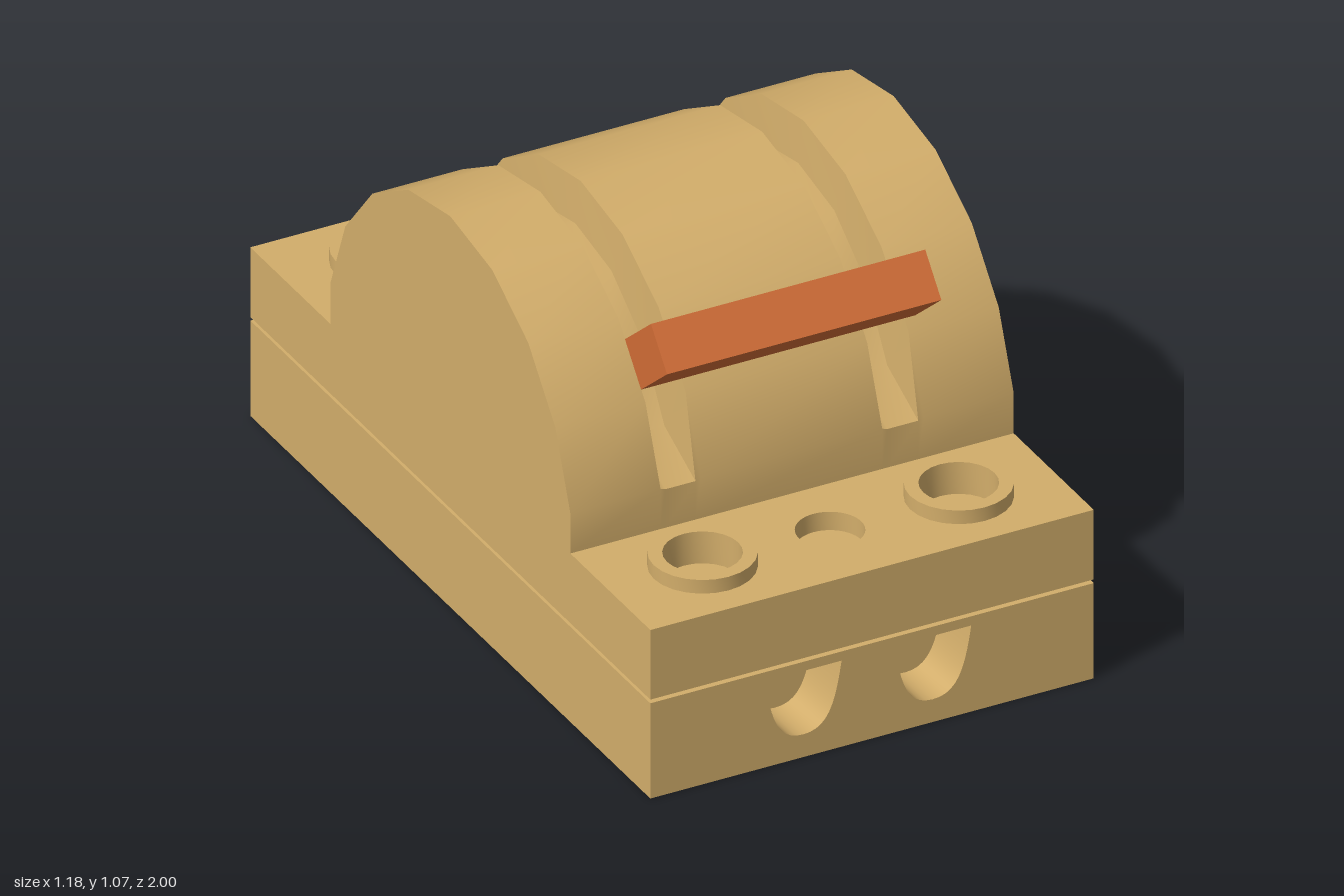
import * as THREE from 'three';
import { toCreasedNormals } from 'three/addons/utils/BufferGeometryUtils.js';

const W = 0.59; // half width of the body

// Rectangle shape centred on the origin's x, from y0 to y1
function rectShape(x, y0, y1) {
  return new THREE.Shape([[-x, y0], [x, y0], [x, y1], [-x, y1]].map(p => new THREE.Vector2(...p)));
}

function circlePath(x, y, r) {
  return new THREE.Path().absarc(x, y, r, 0, Math.PI * 2, true);
}

// Surface through dome profiles placed along x; each section is [x, points of (z, y)]
function loftDome(sections) {
  const n = sections[0][1].length, pos = [], index = [];
  for (const [x, pts] of sections) for (const [z, y] of pts) pos.push(x, y, z);
  for (let i = 0; i < sections.length - 1; i++) {
    for (let j = 0; j < n - 1; j++) {
      const a = i * n + j, b = a + n;
      index.push(a, b, b + 1, a, b + 1, a + 1);
    }
  }
  // flat end caps
  const last = (sections.length - 1) * n, c = sections.length * n;
  pos.push(sections[0][0], 0.46, 0, sections[sections.length - 1][0], 0.46, 0);
  for (let j = 0; j < n - 1; j++) {
    index.push(c, j, j + 1, c + 1, last + j + 1, last + j);
  }
  const g = new THREE.BufferGeometry();
  g.setAttribute('position', new THREE.Float32BufferAttribute(pos, 3));
  g.setIndex(index);
  return toCreasedNormals(g, 0.65);
}

// Half profile plus its mirror across z = 0
function mirrored(half) {
  return [...half, ...half.slice(0, -1).reverse().map(([z, y]) => [-z, y])];
}

export function createModel() {
  const model = new THREE.Group();
  model.name = 'leverSwitch';
  const tan = new THREE.MeshStandardMaterial({ color: 0xd2ad6a });
  tan.name = 'tan body';
  const orange = new THREE.MeshStandardMaterial({ color: 0xd06c35 });
  orange.name = 'orange handle';

  const add = (name, geometry, material, x = 0, y = 0, z = 0, parent = model) => {
    const mesh = new THREE.Mesh(geometry, material);
    mesh.name = name;
    mesh.position.set(x, y, z);
    parent.add(mesh);
    return mesh;
  };

  // Base: solid core with pocketed end blocks
  const depth = 0.14;
  add('baseCore', new THREE.BoxGeometry(2 * W, 0.26, 2 - 2 * depth), tan, 0, 0.13, 0);
  const endShape = rectShape(W, 0, 0.26);
  for (const cx of [-0.183, 0.162]) {
    const pocket = new THREE.Path();
    pocket.moveTo(cx - 0.102, 0.235);
    pocket.bezierCurveTo(cx - 0.085, 0.12, cx - 0.065, 0.062, cx, 0.062);
    pocket.bezierCurveTo(cx + 0.065, 0.062, cx + 0.085, 0.12, cx + 0.102, 0.235);
    pocket.closePath();
    endShape.holes.push(pocket);
  }
  const endGeometry = toCreasedNormals(
    new THREE.ExtrudeGeometry(endShape, { depth, bevelEnabled: false, curveSegments: 10 }), 0.6);
  add('frontBaseEnd', endGeometry, tan, 0, 0, 1 - depth);
  add('backBaseEnd', endGeometry, tan, 0, 0, -1 + depth).rotation.y = Math.PI;

  // Recessed seam between base and cover
  add('seam', new THREE.BoxGeometry(2 * W - 0.04, 0.03, 1.95), tan, 0, 0.265, 0);

  // Cover slab: solid lower layer, drilled upper layer
  const boltX = [-0.342, 0.34], boltZ = 0.795;
  add('coverBottom', new THREE.BoxGeometry(2 * W, 0.14, 2), tan, 0, 0.34, 0);
  const top = rectShape(W, -1, 1);
  for (const s of [-1, 1]) {
    top.holes.push(circlePath(0, s * 0.79, 0.083));
    for (const x of boltX) top.holes.push(circlePath(x, s * boltZ, 0.095));
  }
  const topGeometry = new THREE.ExtrudeGeometry(top, { depth: 0.05, bevelEnabled: false, curveSegments: 24 });
  topGeometry.rotateX(-Math.PI / 2);
  add('coverTop', toCreasedNormals(topGeometry, 0.6), tan, 0, 0.41, 0);

  // Raised rings around the bolt holes
  const ringProfile = [[0.13, 0.45], [0.13, 0.497], [0.095, 0.497], [0.095, 0.41]];
  const ringGeometry = toCreasedNormals(
    new THREE.LatheGeometry(ringProfile.map(p => new THREE.Vector2(...p)), 24), 0.6);
  for (const z of [-boltZ, boltZ]) {
    for (const x of boltX) add('boltRing', ringGeometry, tan, x, 0, z);
  }

  // Dome with two tapered slots running over it
  const outer = mirrored([[0.6, 0.46], [0.6, 0.57], [0.525, 0.765], [0.39, 0.925], [0.21, 1.03], [0, 1.067]]);
  const inner = mirrored([[0.6, 0.46], [0.6, 0.565], [0.445, 0.635], [0.335, 0.81], [0.18, 0.92], [0, 0.955]]);
  add('dome', loftDome([
    [-W, outer],
    [-0.35, outer], [-0.337, inner], [-0.257, inner], [-0.243, outer],
    [0.24, outer], [0.254, inner], [0.336, inner], [0.35, outer],
    [W, outer],
  ]), tan);

  // Handle: tilted bar with two prongs entering the slots
  const handle = new THREE.Group();
  handle.name = 'handle';
  handle.position.set(0, 0.9175, 0.565);
  handle.rotation.x = -0.7;
  model.add(handle);
  add('handleBar', new THREE.BoxGeometry(0.73, 0.125, 0.17), orange, -0.005, 0, 0, handle);
  for (const x of [-0.297, 0.294]) {
    add('prong', new THREE.BoxGeometry(0.064, 0.05, 0.16), orange, x, 0, -0.145, handle);
  }
  return model;
}
